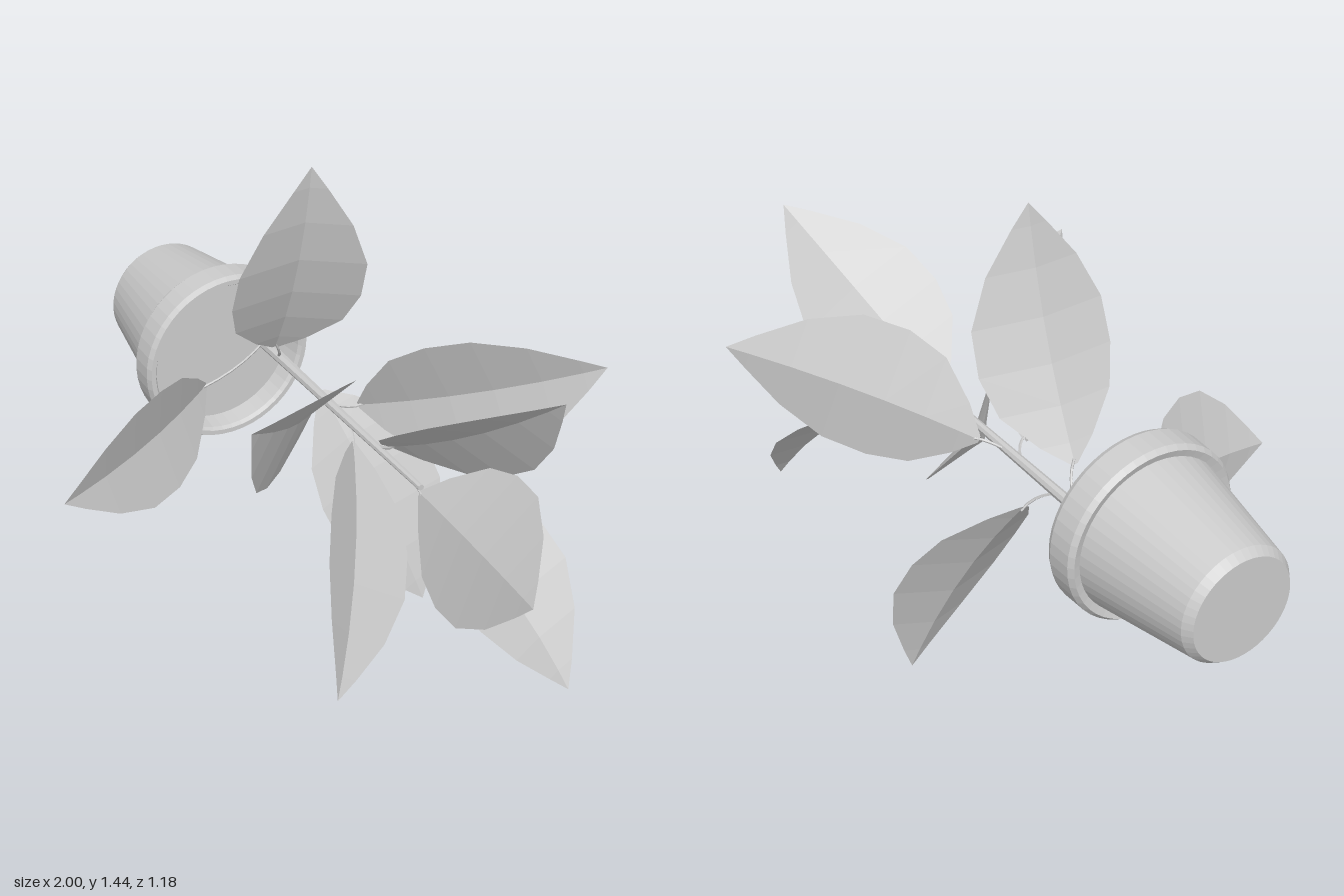
import * as THREE from 'three';

const V = (x, y, z) => new THREE.Vector3(x, y, z);
const AXIS = V(0.99, 0.005, 0.135).normalize(); // growth direction of the toppled plant

const clay = new THREE.MeshStandardMaterial({ color: 0xcccccc, flatShading: true, side: THREE.DoubleSide });
clay.name = 'plain grey';

function add(group, geometry, name) {
  const mesh = new THREE.Mesh(geometry, clay);
  mesh.name = name;
  group.add(mesh);
  return mesh;
}

// Blade outline: [position along the midrib, share of the half width]
const OUTLINE = [[0, 0.05], [0.08, 0.4], [0.22, 0.84], [0.38, 1], [0.56, 0.98], [0.75, 0.68], [0.91, 0.26], [1, 0]];

// Folded blade: a bowed midrib with both edges lifted towards the upper side, rolled about its length
function bladeGeometry(base, tip, half, bow, lift, roll) {
  const chord = tip.clone().sub(base);
  const dir = chord.clone().normalize();
  const across = V().crossVectors(chord, AXIS).normalize().applyAxisAngle(dir, THREE.MathUtils.degToRad(roll));
  const up = V().crossVectors(across, dir);
  const rows = OUTLINE.map(([t, w]) => {
    const mid = base.clone().addScaledVector(chord, t).addScaledVector(up, bow * 4 * t * (1 - t));
    const edge = s => mid.clone().addScaledVector(across, s * half * w).addScaledVector(up, lift * w);
    return [edge(-1), mid, edge(1)];
  });
  const points = [];
  for (let i = 0; i < rows.length - 1; i++) {
    for (let j = 0; j < 2; j++) {
      const [a, b, c, d] = [rows[i][j], rows[i][j + 1], rows[i + 1][j + 1], rows[i + 1][j]];
      points.push(a, b, c, a, c, d);
    }
  }
  const geometry = new THREE.BufferGeometry().setFromPoints(points);
  geometry.computeVertexNormals();
  return geometry;
}

// Each leaf: base, tip, half width, bow of the midrib, roll in degrees
const LEAVES = [
  // lower whorl
  [V(-0.37, 0.78, -0.115), V(-0.15, 1.44, -0.08), 0.185, 0.04, -11],
  [V(-0.48, 0.66, 0.05), V(-0.39, 0.525, 0.59), 0.2, 0.025, -11],
  [V(-0.28, 0.64, -0.21), V(0.01, 0.005, -0.365), 0.19, 0.03, -9],
  // middle whorl
  [V(-0.13, 0.71, -0.07), V(0.245, 1.01, 0.41), 0.19, 0.025, -9],
  [V(-0.06, 0.72, -0.17), V(0.47, 0.94, -0.59), 0.2, 0.025, -9],
  [V(0.02, 0.67, -0.09), V(0.45, 0.235, 0.295), 0.19, 0.03, -11],
  // upper whorl
  [V(0.17, 0.73, -0.1), V(0.73, 1.11, -0.19), 0.185, 0.025, -12],
  [V(0.31, 0.65, -0.11), V(0.76, 0.21, -0.24), 0.195, 0.04, -28],
  [V(0.34, 0.69, -0.06), V(1.0, 0.8, 0.14), 0.2, 0.01, 7],
];

export function createModel() {
  const model = new THREE.Group();
  model.name = 'toppledPottedPlant';

  // Pot with a chamfered foot, a thick collar and an open mouth
  const pot = new THREE.Group();
  pot.name = 'pot';
  pot.position.set(-0.98, 0.68, -0.132);
  pot.quaternion.setFromUnitVectors(V(0, 1, 0), AXIS);
  model.add(pot);
  const profile = [[0, 0], [0.15, 0], [0.168, 0.025], [0.226, 0.36], [0.247, 0.353], [0.258, 0.368],
    [0.26, 0.44], [0.252, 0.456], [0.238, 0.456], [0.231, 0.445], [0.222, 0.38]];
  add(pot, new THREE.LatheGeometry(profile.map(p => new THREE.Vector2(...p)), 48), 'potShell');
  const soil = add(pot, new THREE.CircleGeometry(0.224, 48), 'soil');
  soil.rotation.x = -Math.PI / 2;
  soil.position.y = 0.39;

  // Straight stem, slightly tapered
  const start = V(-0.62, 0.7, -0.195);
  const stemLength = 0.97;
  const stem = add(model, new THREE.CylinderGeometry(0.009, 0.018, stemLength, 8), 'stem');
  stem.quaternion.setFromUnitVectors(V(0, 1, 0), AXIS);
  stem.position.copy(start).addScaledVector(AXIS, stemLength / 2);

  // Leaves, each joined to the stem by a thin curved stalk
  LEAVES.forEach(([base, tip, half, bow, roll], i) => {
    const leaf = new THREE.Group();
    leaf.name = 'leaf' + (i + 1);
    add(leaf, bladeGeometry(base, tip, half, bow, 0.045, roll), 'blade');
    const along = base.clone().sub(start).dot(AXIS);
    const node = start.clone().addScaledVector(AXIS, Math.max(0.05, along - 0.07));
    const bend = start.clone().addScaledVector(AXIS, along).lerp(base, 0.5);
    const path = new THREE.QuadraticBezierCurve3(node, bend, base.clone().lerp(tip, 0.02));
    add(leaf, new THREE.TubeGeometry(path, 5, 0.004, 5), 'stalk');
    model.add(leaf);
  });
  return model;
}
